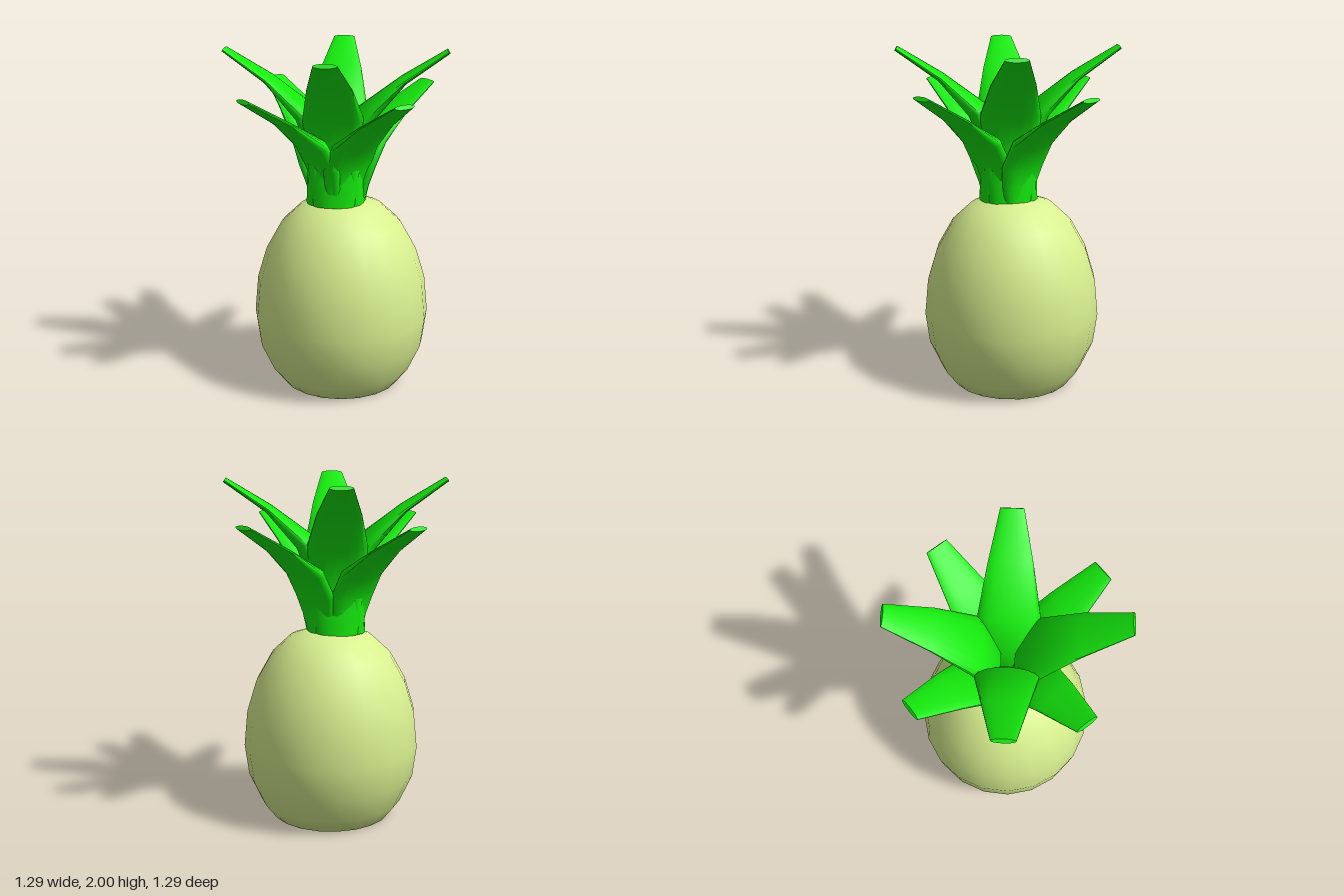
import * as THREE from 'three';
import { toCreasedNormals } from 'three/addons/utils/BufferGeometryUtils.js';

const SIDES = 18;

// Leaf growing along +x and curving upwards; each station is
// [distance out, height, half width, half thickness] of an elliptical section.
function leafGeometry(stations) {
  const pos = [];
  const index = [];
  const last = stations.length - 1;
  stations.forEach(([r, y, w, t], i) => {
    const a = stations[Math.max(i - 1, 0)];
    const b = stations[Math.min(i + 1, last)];
    const dir = new THREE.Vector2(b[0] - a[0], b[1] - a[1]).normalize();
    if (i === 0) dir.set(0, 1);
    for (let j = 0; j < SIDES; j++) {
      const ang = (j / SIDES) * Math.PI * 2;
      const n = Math.cos(ang) * t;
      pos.push(r - dir.y * n, y + dir.x * n, Math.sin(ang) * w);
    }
  });
  // Skin between neighbouring sections
  for (let i = 0; i < last; i++) {
    for (let j = 0; j < SIDES; j++) {
      const k = (j + 1) % SIDES;
      const a = i * SIDES + j, b = i * SIDES + k;
      index.push(a, b, b + SIDES, a, b + SIDES, a + SIDES);
    }
  }
  // Flat ends
  const base = pos.length / 3;
  pos.push(stations[0][0], stations[0][1], 0, stations[last][0], stations[last][1], 0);
  for (let j = 0; j < SIDES; j++) {
    const k = (j + 1) % SIDES;
    index.push(base, k, j, base + 1, last * SIDES + j, last * SIDES + k);
  }
  const geo = new THREE.BufferGeometry();
  geo.setAttribute('position', new THREE.Float32BufferAttribute(pos, 3));
  geo.setIndex(index);
  return toCreasedNormals(geo, 1);
}

export function createModel() {
  const model = new THREE.Group();
  model.name = 'pineapple';

  const skin = new THREE.MeshStandardMaterial({ color: 0xd8f08f });
  const green = new THREE.MeshStandardMaterial({ color: 0x14ea0c });

  // Rounded fruit with a flat bottom
  const profile = [
    [0, 0], [0.35, 0], [0.42, 0.09], [0.493, 0.25], [0.517, 0.43], [0.497, 0.64],
    [0.442, 0.82], [0.352, 0.98], [0.24, 1.085], [0.12, 1.125], [0, 1.135],
  ].map(([x, y]) => new THREE.Vector2(x, y));
  const fruit = new THREE.Mesh(new THREE.LatheGeometry(profile, 20), skin);
  fruit.name = 'fruit';
  fruit.position.set(0.018, 0, 0.008);
  model.add(fruit);

  const crown = new THREE.Group();
  crown.name = 'leafCrown';
  model.add(crown);

  // Short outer leaves, pointing along the axes
  const lower = leafGeometry([
    [0.09, 1.11, 0.10, 0.05], [0.10, 1.22, 0.13, 0.05], [0.125, 1.33, 0.16, 0.055],
    [0.205, 1.475, 0.16, 0.055], [0.39, 1.615, 0.122, 0.022], [0.637, 1.76, 0.067, 0.014],
  ]);
  // Tall inner leaves, pointing along the diagonals
  const upper = leafGeometry([
    [0.11, 1.11, 0.12, 0.06], [0.105, 1.25, 0.14, 0.06], [0.095, 1.42, 0.16, 0.06],
    [0.18, 1.635, 0.172, 0.06], [0.385, 1.825, 0.125, 0.025], [0.633, 1.988, 0.064, 0.014],
  ]);

  for (let k = 0; k < 4; k++) {
    const outer = new THREE.Mesh(lower, green);
    outer.name = 'outerLeaf' + (k + 1);
    outer.rotation.y = (k * Math.PI) / 2;
    outer.position.set(k % 2 ? -0.025 : 0, 0, k % 2 ? 0 : 0.023);
    crown.add(outer);

    const inner = new THREE.Mesh(upper, green);
    inner.name = 'innerLeaf' + (k + 1);
    inner.rotation.y = THREE.MathUtils.degToRad(50 + 90 * k);
    inner.position.x = -0.016;
    crown.add(inner);
  }
  return model;
}
